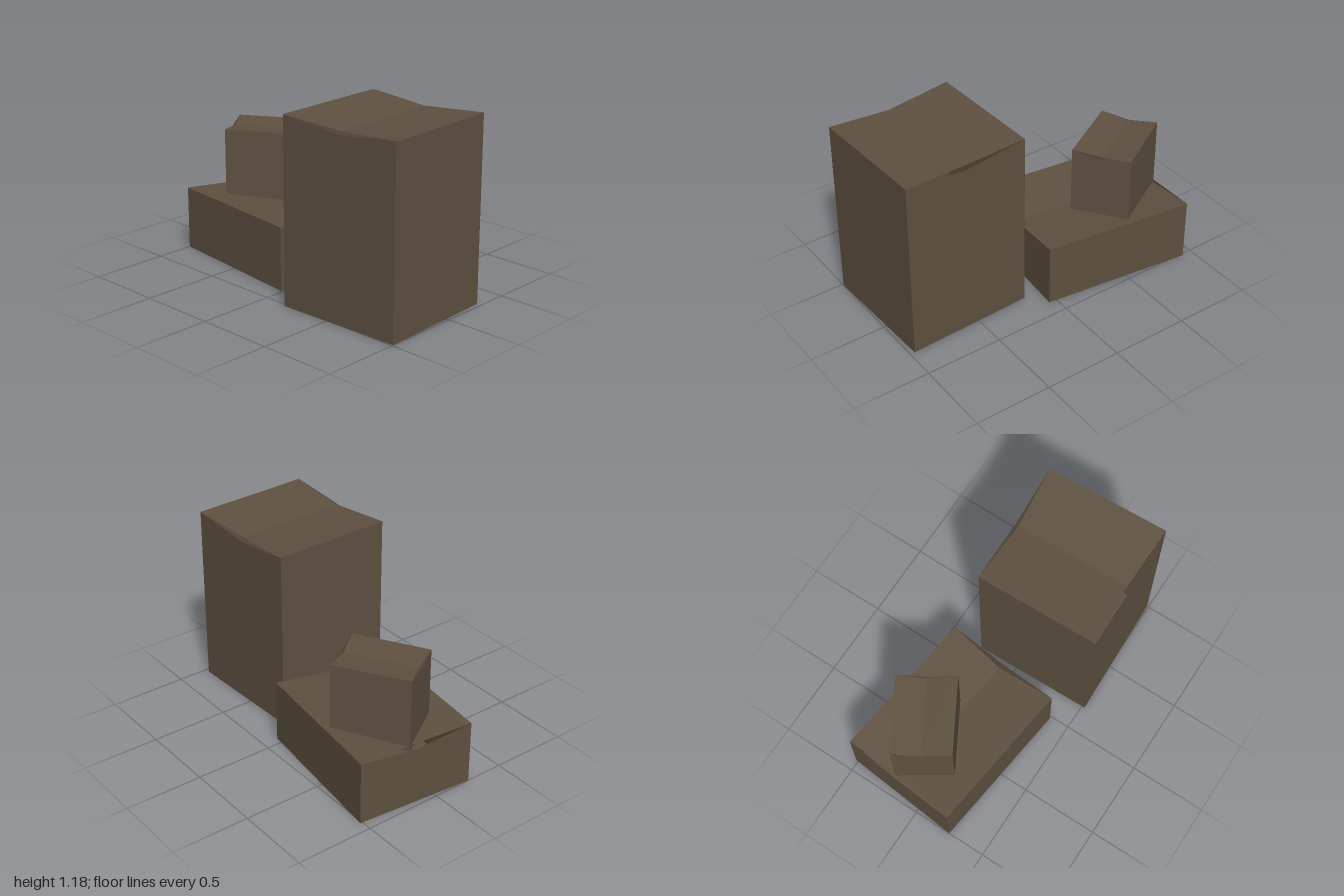
import * as THREE from 'three';

// Crate from four [x, z] corners, anticlockwise seen from above. The top sags
// along a crease running from the middle of edge 0-1 to the middle of edge 2-3.
function crate(name, corners, bottom, top, wallDip, lidDip, inset, material) {
  const at = ([x, z], y) => new THREE.Vector3(x, y, z);
  const low = corners.map((c) => at(c, bottom));
  const high = corners.map((c) => at(c, top));
  const middle = (i, j) => high[i].clone().lerp(high[j], 0.5);
  const m1 = middle(0, 1), m2 = middle(2, 3);

  // The lid crease is slightly shorter than the crate
  const along = m2.clone().sub(m1).normalize().multiplyScalar(inset);
  const c1 = m1.clone().add(along), c2 = m2.clone().sub(along);
  c1.y -= lidDip;
  c2.y -= lidDip;
  m1.y -= wallDip;
  m2.y -= wallDip;

  const points = [];
  const face = (...p) => {
    for (let i = 1; i < p.length - 1; i++) points.push(p[0], p[i], p[i + 1]);
  };
  // Walls: two with a notched top edge, two plain
  face(m1, high[0], low[0], low[1], high[1]);
  face(low[1], low[2], high[2], high[1]);
  face(m2, high[2], low[2], low[3], high[3]);
  face(low[3], low[0], high[0], high[3]);
  // Folded lid and flat base
  face(high[0], c1, c2, high[3]);
  face(c1, high[1], high[2], c2);
  face(low[3], low[2], low[1], low[0]);

  const geometry = new THREE.BufferGeometry().setFromPoints(points);
  geometry.computeVertexNormals();
  const mesh = new THREE.Mesh(geometry, material);
  mesh.name = name;
  return mesh;
}

export function createModel() {
  const group = new THREE.Group();
  group.name = 'crateStack';
  const brown = new THREE.MeshStandardMaterial({ color: 0x5f5141, side: THREE.DoubleSide });
  brown.name = 'dull brown';

  group.add(
    crate('tallCrate', [[0.3, 0.97], [0.27, 0.15], [-0.52, 0.17], [-0.49, 1]],
      0, 1.18, 0.042, 0.027, 0.025, brown),
    crate('lowCrate', [[-0.37, -0.015], [0.395, 0.05], [0.515, -0.93], [-0.25, -1]],
      0, 0.41, 0.038, 0.025, 0.036, brown),
    crate('smallCrate', [[0.105, -0.325], [0.425, -0.525], [0.17, -0.945], [-0.14, -0.75]],
      0.36, 0.83, 0.026, 0.017, 0.017, brown),
  );
  return group;
}
